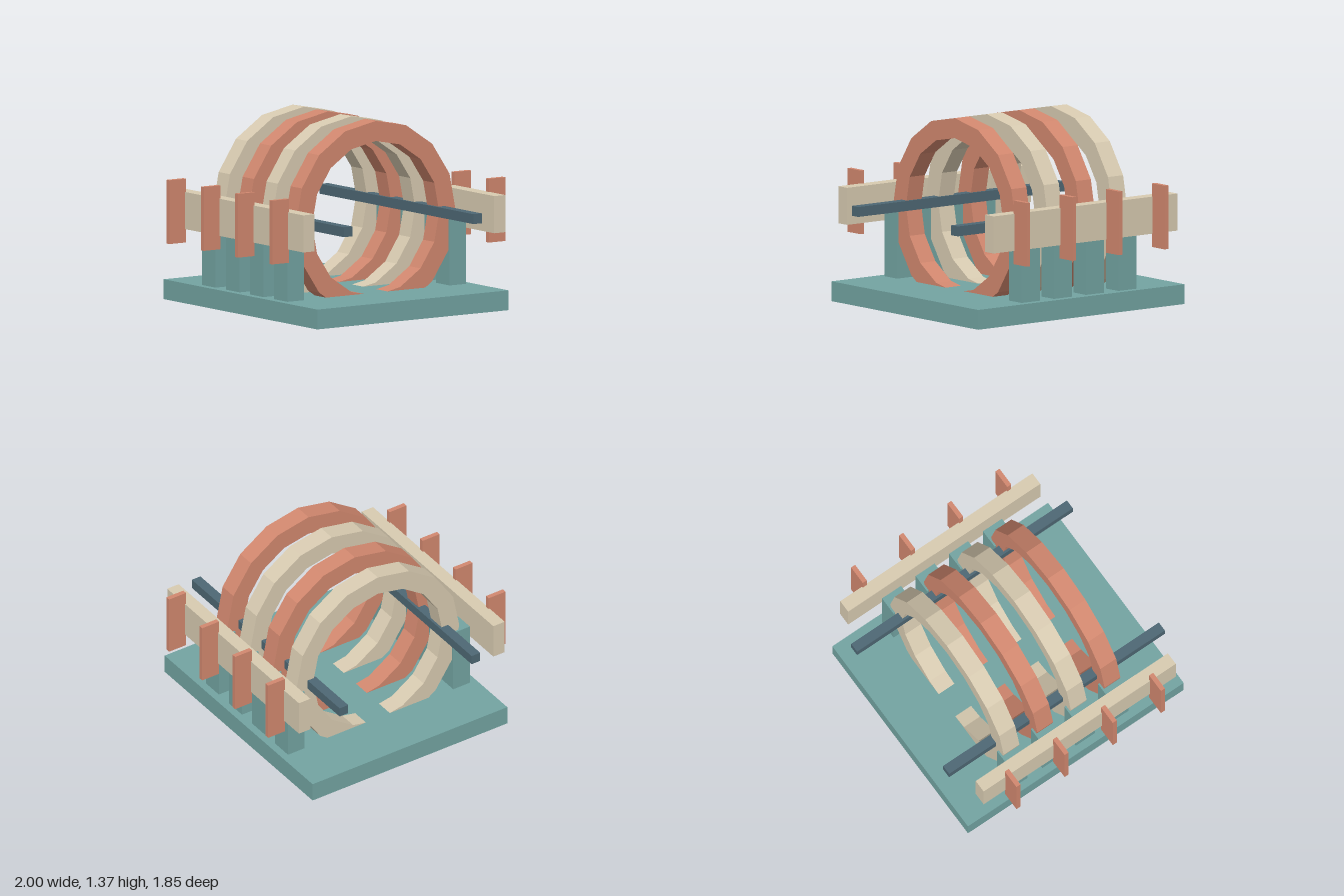
import * as THREE from 'three';

const mat = (name, color) => {
  const m = new THREE.MeshStandardMaterial({ color });
  m.name = name;
  return m;
};

// Closed 16-sided outline with a corner at the top
function polygon(target, radius, sides = 16) {
  for (let i = 0; i < sides; i++) {
    const a = (i / sides) * Math.PI * 2;
    const x = Math.cos(a) * radius, y = Math.sin(a) * radius;
    if (i === 0) target.moveTo(x, y);
    else target.lineTo(x, y);
  }
  target.closePath();
  return target;
}

export function createModel() {
  const model = new THREE.Group();
  model.name = 'ringFrame';

  const teal = mat('teal', 0x73a4a2);
  const coral = mat('coral', 0xd2886f);
  const cream = mat('cream', 0xd8cbb1);
  const slate = mat('slate', 0x4e6874);

  const add = (name, geometry, material, x, y, z) => {
    const mesh = new THREE.Mesh(geometry, material);
    mesh.name = name;
    mesh.position.set(x, y, z);
    model.add(mesh);
  };
  const box = (w, h, d) => new THREE.BoxGeometry(w, h, d);

  // Base slab
  add('base', box(1.64, 0.14, 1.846), teal, 0, 0.095, 0);

  // Faceted hoops, alternating colours from the front
  const ringDepth = 0.135;
  const ringShape = polygon(new THREE.Shape(), 0.686);
  ringShape.holes.push(polygon(new THREE.Path(), 0.545));
  const ringGeometry = new THREE.ExtrudeGeometry(ringShape, { depth: ringDepth, bevelEnabled: false });
  ringGeometry.translate(0, 0, -ringDepth / 2);
  const ringZ = [0.409, 0.12, -0.167, -0.455];
  ringZ.forEach((z, i) => add('ring', ringGeometry, i % 2 ? cream : coral, 0, 0.69, z));

  const postGeometry = box(0.14, 0.5, 0.162);
  const railGeometry = box(0.072, 0.07, 1.846);
  const beamGeometry = box(0.096, 0.262, 1.644);
  const finGeometry = box(0.142, 0.45, 0.034);

  for (const side of [1, -1]) {
    const label = side > 0 ? 'left' : 'right';
    // Posts beside each hoop
    for (const z of ringZ) add(label + 'Post', postGeometry, teal, side * 0.696, 0.4, z);
    // Long rail through the hoops
    add(label + 'Rail', railGeometry, slate, side * 0.556, 0.692, 0);
    // Outer beam
    add(label + 'Beam', beamGeometry, cream, side * 0.819, 0.691, 0);
    // Upright fins on the beam
    for (const z of [0.618, 0.206, -0.206, -0.618]) {
      add(label + 'Fin', finGeometry, coral, side * 0.929, 0.69, z);
    }
  }
  return model;
}
